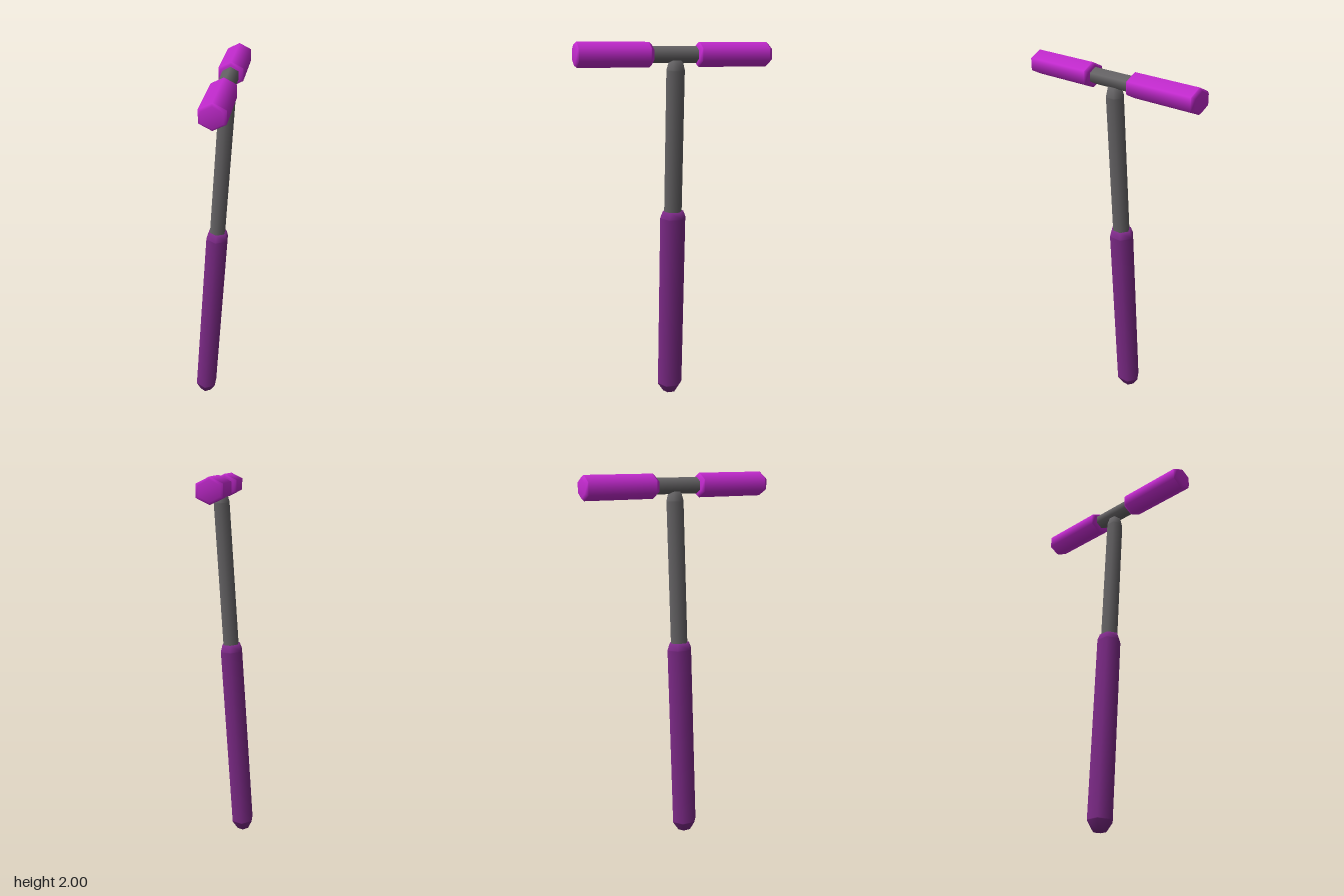
import * as THREE from 'three';

const material = (color) => new THREE.MeshStandardMaterial({ color });

// Six-sided rod along y from y0 to y1, with corners towards +z and -z.
// Each end is { inset, depth } of its bevel; widthX scales the x width.
function hexRod(y0, y1, radius, widthX, low, high) {
  const support = 0.004; // tight ring that keeps the long sides evenly shaded
  const profile = [
    [0, y0],
    [radius - low.inset, y0],
    [radius, y0 + low.depth],
    [radius, y0 + low.depth + support],
    [radius, y1 - high.depth - support],
    [radius, y1 - high.depth],
    [radius - high.inset, y1],
    [0, y1],
  ].map(([x, y]) => new THREE.Vector2(x, y));
  return new THREE.LatheGeometry(profile, 6).scale(widthX, 1, 1);
}

function addPart(parent, name, geometry, mat) {
  const mesh = new THREE.Mesh(geometry, mat);
  mesh.name = name;
  parent.add(mesh);
  return mesh;
}

export function createModel() {
  const model = new THREE.Group();
  model.name = 'handlebar';
  const metal = material(0x666466);
  const sleeve = material(0x7d2a88);
  const rubber = material(0xc42ad0);

  // Leaning stem: thick lower tube with a thinner tube rising out of it
  const stem = new THREE.Group();
  stem.name = 'stem';
  stem.position.set(-0.066, 0.002, -0.008);
  stem.rotation.z = -0.0646;
  model.add(stem);
  addPart(stem, 'lowerTube',
    hexRod(0, 1.098, 0.072, 0.88, { inset: 0.033, depth: 0.05 }, { inset: 0.013, depth: 0.035 }), sleeve);
  addPart(stem, 'upperTube',
    hexRod(1.0, 1.91, 0.05, 0.9, { inset: 0.01, depth: 0.02 }, { inset: 0.014, depth: 0.05 }), metal);

  // Crossbar running front to back
  const handle = new THREE.Group();
  handle.name = 'handle';
  handle.position.set(0.054, 1.936, -0.001);
  handle.rotation.x = Math.PI / 2;
  model.add(handle);
  const barEnd = { inset: 0.005, depth: 0.005 };
  addPart(handle, 'crossbar', hexRod(-0.16, 0.16, 0.0425, 1.09, barEnd, barEnd), metal);

  // A grip on each end of the bar
  const bevel = { inset: 0.013, depth: 0.014 };
  for (const [name, start, end] of [['frontGrip', 0.12, 0.523], ['backGrip', -0.523, -0.12]]) {
    addPart(handle, name, hexRod(start, end, 0.064, 1.146, bevel, bevel), rubber);
  }
  return model;
}
